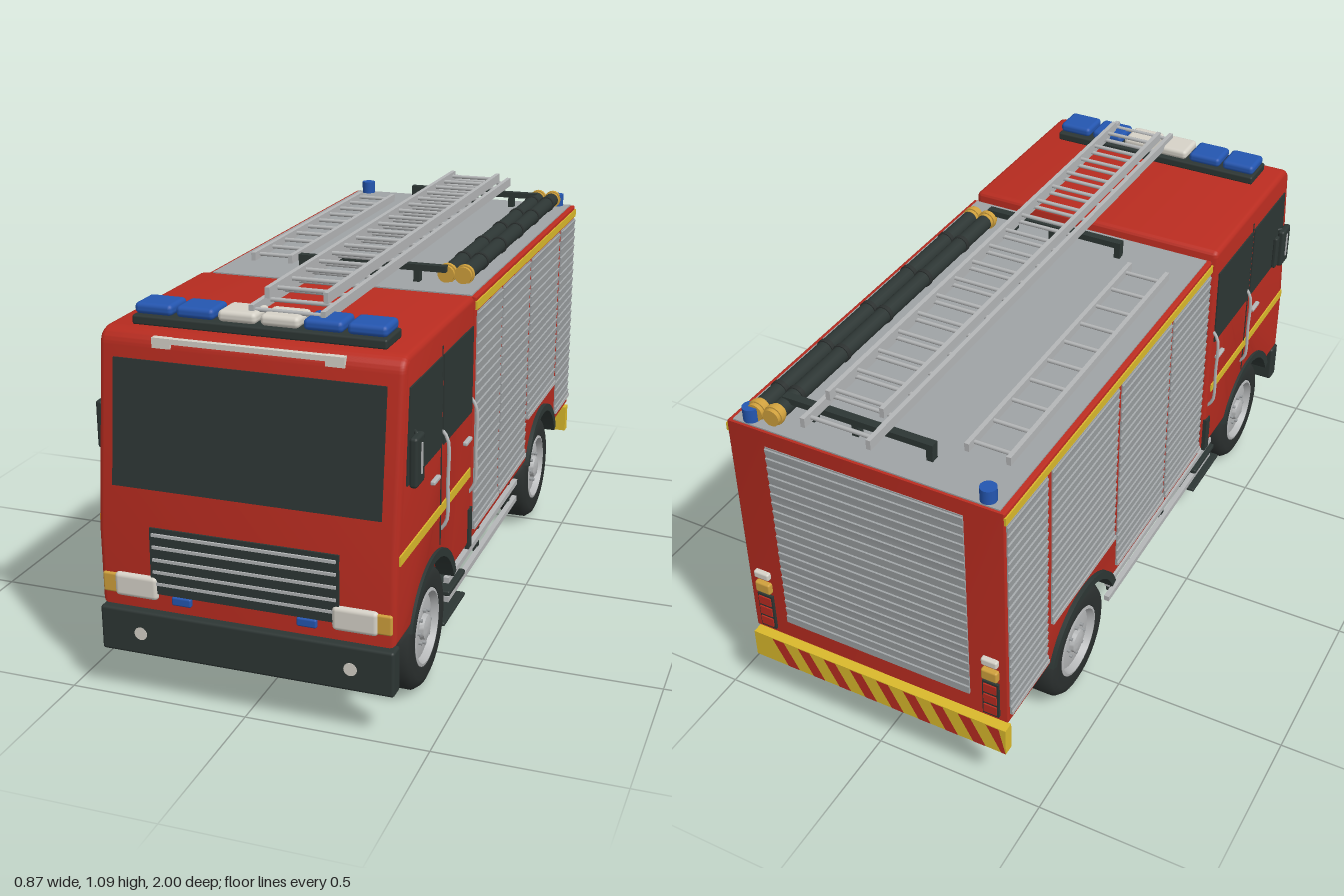
import * as THREE from 'three';
import { toCreasedNormals } from 'three/addons/utils/BufferGeometryUtils.js';
import { RoundedBoxGeometry } from 'three/addons/geometries/RoundedBoxGeometry.js';

const mat = (name, color) => new THREE.MeshStandardMaterial({ name, color });

export function createModel() {
  const root = new THREE.Group();
  root.name = 'fireEngine';
  const red = mat('red', 0xb92c20), dark = mat('darkTrim', 0x2d3634), tyreMat = mat('tyre', 0x2b302f),
    grey = mat('shutterGrey', 0x9fa3a5), silver = mat('silver', 0xb4b6b7), white = mat('lampWhite', 0xd6d2c8),
    blue = mat('blue', 0x2456b0), yellow = mat('yellow', 0xdab92c), amber = mat('amber', 0xcfa03c);

  // --- helpers ---
  const add = (name, geo, m, x = 0, y = 0, z = 0, parent = root) => {
    const mesh = new THREE.Mesh(geo, m);
    mesh.name = name;
    mesh.position.set(x, y, z);
    parent.add(mesh);
    return mesh;
  };
  const box = (name, m, w, h, d, x, y, z, parent) => add(name, new THREE.BoxGeometry(w, h, d), m, x, y, z, parent);
  const rbox = (name, m, w, h, d, x, y, z, r = 0.01, parent) =>
    add(name, new RoundedBoxGeometry(w, h, d, 2, r), m, x, y, z, parent);
  const tube = (name, m, pts, r) => add(name, new THREE.TubeGeometry(
    new THREE.CatmullRomCurve3(pts.map(p => new THREE.Vector3(...p)), false, 'centripetal'), 16, r, 8), m);
  const rod = (name, m, r, len, axis, x, y, z, seg = 16) => {
    const g = new THREE.CylinderGeometry(r, r, len, seg);
    if (axis === 'x') g.rotateZ(-Math.PI / 2);
    if (axis === 'z') g.rotateX(Math.PI / 2);
    return add(name, g, m, x, y, z);
  };
  // extrude a (z, y) profile across x, centred, with an optional rounded edge
  const across = (shape, width, b = 0) => {
    const g = new THREE.ExtrudeGeometry(shape, {
      depth: width - 2 * b, bevelEnabled: b > 0, bevelThickness: b, bevelSize: b,
      bevelOffset: -b, bevelSegments: 3, curveSegments: 20,
    });
    g.translate(0, 0, -(width - 2 * b) / 2).rotateY(-Math.PI / 2);
    return toCreasedNormals(g, 0.6);
  };
  const poly = pts => new THREE.Shape(pts.map(p => new THREE.Vector2(...p)));
  const both = fn => [1, -1].forEach(fn);

  const FRONT = 0.68, REAR = -0.55, AXLE = 0.17, FLOOR = 0.26, ARCH = 0.2;
  const archAngle = Math.asin((FLOOR - AXLE) / ARCH);
  const cutArch = (s, z) => {
    s.lineTo(z - ARCH * Math.cos(archAngle), FLOOR);
    s.absarc(z, AXLE, ARCH, Math.PI - archAngle, archAngle, true);
  };

  // --- cab ---
  const cab = new THREE.Shape();
  cab.moveTo(0.315, FLOOR);
  cutArch(cab, FRONT);
  cab.lineTo(0.985, FLOOR);
  cab.lineTo(0.985, 0.47);
  cab.lineTo(0.926, 0.95);
  cab.quadraticCurveTo(0.92, 0.99, 0.875, 0.99);
  cab.lineTo(0.335, 0.99);
  cab.quadraticCurveTo(0.315, 0.99, 0.315, 0.97);
  add('cab', across(cab, 0.81, 0.016), red);
  box('cabGap', dark, 0.78, 0.7, 0.06, 0, 0.61, 0.3);

  // --- equipment body, roof and shutters ---
  const body = new THREE.Shape();
  body.moveTo(-0.98, FLOOR);
  cutArch(body, REAR);
  body.lineTo(0.29, FLOOR);
  body.lineTo(0.29, 0.976);
  body.lineTo(-0.98, 0.976);
  add('body', across(body, 0.8, 0.005), red);
  box('roofDeck', grey, 0.77, 0.006, 1.255, 0, 0.977, -0.345);

  const shutter = (name, w, h, x, y, z, turn) => {
    const n = Math.round(h / 0.029), p = h / n, pts = [[-0.006, 0], [0.006, 0]];
    for (let i = 0; i < n; i++) pts.push([0.006, (i + 0.8) * p], [0.002, (i + 0.86) * p], [0.002, (i + 1) * p], [0.006, (i + 1) * p]);
    pts.pop();
    pts.push([-0.006, h]);
    const clean = pts.filter((q, i) => i < 2 || q[1] !== pts[i - 1][1] || i === pts.length - 1);
    add(name, across(poly(clean), w), grey, x, y, z).rotation.y = turn;
  };
  both(s => {
    [[0.28, 0.01, 0.29], [-0.002, -0.332, 0.29], [-0.35, -0.738, 0.41], [-0.762, -0.972, 0.29]].forEach(([a, b, y]) => {
      shutter('sideShutter', a - b, 0.935 - y, s * 0.4, y, (a + b) / 2, s * Math.PI / 2);
      box('shutterSill', silver, 0.014, 0.012, a - b, s * 0.402, y + 0.004, (a + b) / 2);
    });
    box('roofStripe', yellow, 0.008, 0.024, 1.268, s * 0.4, 0.953, -0.345);
  });
  shutter('rearShutter', 0.575, 0.61, 0, 0.32, -0.98, Math.PI);

  // --- cab sides ---
  both(s => {
    const x = s * 0.405;
    const win = poly([[0.63, 0.665], [0.915, 0.665], [0.912, 0.72], [0.893, 0.91], [0.63, 0.91]]);
    add('frontDoorWindow', across(win, 0.008), dark, x);
    box('rearDoorWindow', dark, 0.008, 0.245, 0.272, x, 0.787, 0.474);
    box('doorSeam', dark, 0.004, 0.55, 0.005, x, 0.66, 0.62);
    box('cabStripe', yellow, 0.008, 0.026, 0.625, x, 0.487, 0.653);
    [0.685, 0.385].forEach(z => rbox('doorHandle', silver, 0.014, 0.012, 0.055, s * 0.411, 0.595, z, 0.004));
    [0.607, 0.334].forEach(z => tube('grabRail', silver, [[s * 0.403, 0.425, z], [s * 0.419, 0.45, z],
      [s * 0.421, 0.56, z], [s * 0.419, 0.68, z], [s * 0.403, 0.705, z]], 0.005));
    // mirrors
    rbox('mirror', dark, 0.022, 0.13, 0.065, s * 0.422, 0.725, 0.882, 0.008);
    rbox('smallMirror', dark, 0.014, 0.11, 0.026, s * 0.415, 0.722, 0.833, 0.005);
    tube('mirrorArm', dark, [[s * 0.4, 0.79, 0.85], [s * 0.42, 0.785, 0.875], [s * 0.42, 0.67, 0.875], [s * 0.4, 0.66, 0.85]], 0.005);
    box('mirrorClip', silver, 0.006, 0.08, 0.008, s * 0.433, 0.73, 0.88);
    // wheel arch flares
    [FRONT, REAR].forEach(z => {
      const f = new THREE.Shape();
      f.absarc(z, AXLE, 0.215, 0.38, Math.PI - 0.38, false);
      f.absarc(z, AXLE, 0.192, Math.PI - 0.38, 0.38, true);
      add('archFlare', across(f, 0.05), dark, s * 0.388);
    });
  });

  // --- cab front ---
  box('windscreen', dark, 0.725, 0.333, 0.008, 0, 0.755, 0.951).rotation.x = -0.123;
  box('topRail', white, 0.51, 0.014, 0.016, 0, 0.973, 0.922);
  both(s => box('topRailEnd', white, 0.05, 0.027, 0.018, s * 0.23, 0.967, 0.922));
  box('grille', dark, 0.515, 0.182, 0.02, 0, 0.4, 0.98).rotation.x = -0.02;
  [0.338, 0.371, 0.405, 0.44, 0.474].forEach(y => box('grilleBar', silver, 0.5, 0.008, 0.01, 0, y, 0.989));
  rbox('frontBumper', dark, 0.81, 0.125, 0.05, 0, 0.192, 0.975, 0.008);
  both(s => {
    rbox('headlight', white, 0.122, 0.066, 0.03, s * 0.3, 0.322, 0.983, 0.012);
    rbox('indicator', amber, 0.045, 0.055, 0.03, s * 0.374, 0.322, 0.977, 0.006);
    rbox('grilleBeacon', blue, 0.054, 0.024, 0.02, s * 0.172, 0.297, 0.986, 0.005);
    rod('fogLamp', white, 0.018, 0.006, 'z', s * 0.29, 0.191, 0.998, 20);
    box('cornerTrim', dark, 0.012, 0.12, 0.03, s * 0.404, 0.315, 0.333);
  });

  // --- roof light bar and rear beacons ---
  rbox('lightBarBase', dark, 0.68, 0.026, 0.115, 0, 1.001, 0.81, 0.006);
  for (let i = 0; i < 6; i++)
    rbox('roofLamp', i === 2 || i === 3 ? white : blue, 0.104, 0.03, 0.096, (i - 2.5) * 0.114, 1.029, 0.81, 0.012);
  both(s => rod('rearBeacon', blue, 0.022, 0.042, 'y', s * 0.342, 0.998, -0.95, 20));

  // --- ladders ---
  const ladder = (name, x0, x1, y, h, z0, z1, pitch) => {
    [x0, x1].forEach(x => box(name + 'Rail', silver, 0.013, h, z1 - z0, x, y, (z0 + z1) / 2));
    for (let z = z0 + 0.03; z < z1; z += pitch) rod(name + 'Rung', silver, 0.006, x1 - x0, 'x', (x0 + x1) / 2, y, z, 8);
  };
  ladder('lowerLadder', -0.026, 0.164, 1.045, 0.028, -0.975, 0.835, 0.098);
  ladder('upperLadder', -0.01, 0.147, 1.075, 0.028, -0.885, 0.77, 0.098);
  ladder('shortLadder', -0.325, -0.208, 0.995, 0.024, -0.82, 0.13, 0.098);
  [-0.88, 0.185].forEach(z => {
    box('ladderSupport', dark, 0.44, 0.018, 0.024, 0.065, 1.021, z);
    [-0.145, 0.07, 0.2].forEach(x => box('ladderSupportFoot', dark, 0.018, 0.04, 0.024, x, 0.996, z));
  });

  // --- suction hoses ---
  [0.28, 0.33].forEach(x => {
    rod('suctionHose', dark, 0.023, 1.08, 'z', x, 1.003, -0.385, 20);
    for (let z = -0.84; z < 0.12; z += 0.21) rod('hoseBand', tyreMat, 0.026, 0.014, 'z', x, 1.003, z, 20);
    [0.16, -0.935].forEach(z => {
      rod('hoseCoupling', amber, 0.024, 0.036, 'z', x, 1.003, z, 20);
      rod('couplingCollar', amber, 0.028, 0.014, 'z', x, 1.003, z, 20);
    });
  });

  // --- rear board and lamps ---
  box('rearBoard', yellow, 0.8, 0.088, 0.032, 0, 0.2, -0.982);
  for (let i = 0; i < 9; i++) {
    const x = -0.385 + i * 0.085;
    // lean of each stripe, drawn facing backwards
    const g = new THREE.ShapeGeometry(poly([[-x - 0.038, 0.157], [-x, 0.157], [-x - 0.045, 0.243], [-x - 0.083, 0.243]]
      .map(([a, b]) => [Math.max(-0.4, Math.min(0.4, a + 0.04)), b])));
    add('boardStripe', g.rotateY(Math.PI), red, 0, 0, -0.9992);
  }
  both(s => {
    box('tailLampPanel', dark, 0.048, 0.12, 0.012, s * 0.352, 0.335, -0.982);
    [0.298, 0.336, 0.374].forEach(y => box('tailLamp', red, 0.038, 0.028, 0.012, s * 0.352, y, -0.986));
    rbox('rearIndicator', amber, 0.048, 0.036, 0.022, s * 0.352, 0.424, -0.984, 0.006);
    rbox('reverseLamp', white, 0.048, 0.024, 0.02, s * 0.352, 0.468, -0.984, 0.006);
  });

  // --- chassis, steps and side guards ---
  both(s => {
    box('chassisRail', dark, 0.05, 0.09, 1.86, s * 0.15, 0.21, 0.03);
    ['upper', 'lower'].forEach((n, i) => box(n + 'GuardRail', silver, 0.016, 0.017, 0.78, s * 0.375, i ? 0.141 : 0.199, 0.06));
    [0.09, -0.28].forEach(z => box('guardPost', dark, 0.016, 0.13, 0.016, s * 0.362, 0.198, z));
    rbox('upperStep', dark, 0.12, 0.016, 0.16, s * 0.33, 0.165, 0.385, 0.005);
    rbox('lowerStep', dark, 0.1, 0.012, 0.21, s * 0.34, 0.092, 0.405, 0.005);
    [0.33, 0.45].forEach(z => box('stepBracket', dark, 0.012, 0.17, 0.012, s * 0.3, 0.175, z));
  });
  [0.42, 0.0, -0.8].forEach(z => box('crossMember', dark, 0.3, 0.05, 0.05, 0, 0.215, z));

  // --- wheels ---
  const lathe = pts => new THREE.LatheGeometry(pts.map(p => new THREE.Vector2(...p)), 40).rotateZ(-Math.PI / 2);
  const tyreGeo = toCreasedNormals(lathe([[0, -0.04], [0.1, -0.04], [0.108, -0.05], [0.142, -0.0525], [0.158, -0.046],
    [0.17, -0.03], [0.17, 0.03], [0.158, 0.046], [0.142, 0.0525], [0.108, 0.05], [0.1, 0.03]]), 0.7);
  const rimGeo = toCreasedNormals(lathe([[0.106, 0.02], [0.106, 0.05], [0.098, 0.052], [0.09, 0.032], [0.055, 0.038],
    [0.036, 0.038], [0.033, 0.05], [0.02, 0.054], [0, 0.054]]), 0.5);
  const wheel = (name, x, z, s) => {
    const g = new THREE.Group();
    g.name = name;
    g.position.set(x, AXLE, z);
    if (s < 0) g.rotation.y = Math.PI;
    root.add(g);
    add('tyre', tyreGeo, tyreMat, 0, 0, 0, g);
    add('rim', rimGeo, silver, 0, 0, 0, g);
    for (let i = 0; i < 8; i++) {
      const a = i * Math.PI / 4;
      add('wheelNut', new THREE.CylinderGeometry(0.005, 0.005, 0.012, 6).rotateZ(Math.PI / 2), grey,
        0.041, 0.047 * Math.sin(a), 0.047 * Math.cos(a), g);
    }
  };
  both(s => {
    wheel('frontWheel', s * 0.342, FRONT, s);
    wheel('rearOuterWheel', s * 0.342, REAR, s);
    wheel('rearInnerWheel', s * 0.234, REAR, s);
  });
  [FRONT, REAR].forEach(z => rod('axle', dark, 0.025, 0.6, 'x', 0, AXLE, z));

  return root;
}
